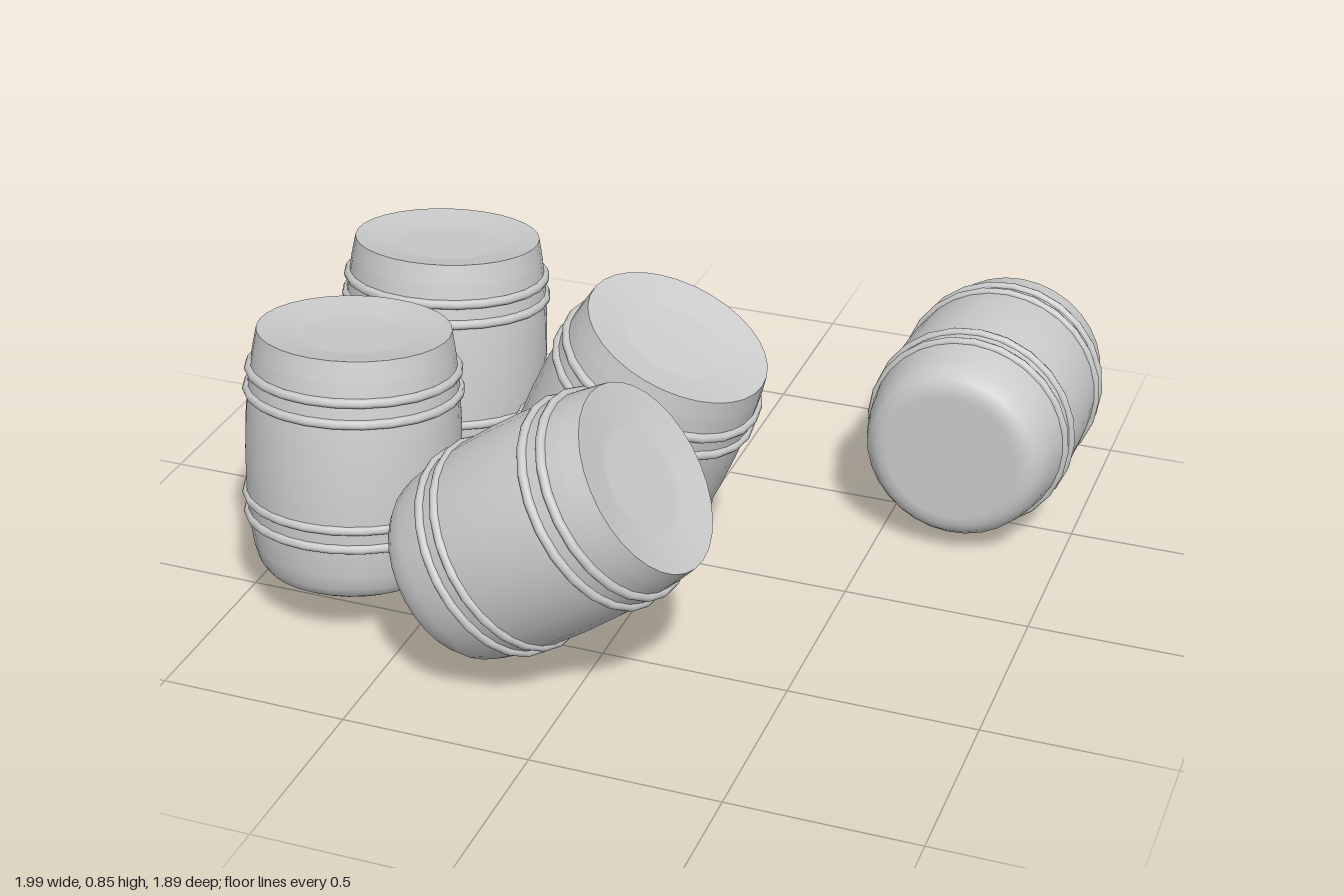
import * as THREE from 'three';

const LENGTH = 0.665;
const SIDES = 32;
const material = new THREE.MeshStandardMaterial({ color: 0xcccccc });

const lathe = (points) =>
  new THREE.LatheGeometry(points.map(([r, y]) => new THREE.Vector2(r, y)), SIDES);

// Bulging staves with a rounded foot
const bodyGeometry = lathe([
  [0, 0], [0.18, 0], [0.205, 0.003], [0.228, 0.015], [0.246, 0.04], [0.258, 0.08],
  [0.27, 0.15], [0.277, 0.23], [0.28, 0.33], [0.278, 0.43], [0.272, 0.52], [0.26, 0.61],
]);
// Straight collar above the staves
const collarGeometry = lathe([[0.26, 0.61], [0.25, LENGTH]]);
// Shallow dished lid
const lidGeometry = lathe([
  [0.25, LENGTH], [0.235, LENGTH - 0.002], [0.19, LENGTH - 0.011],
  [0.145, LENGTH - 0.018], [0.13, LENGTH - 0.02], [0, LENGTH - 0.02],
]);

// Hoops as [height, radius]
const hoops = [[0.165, 0.271], [0.218, 0.275], [0.505, 0.273], [0.56, 0.268]];

function createBarrel(name, centre, axis) {
  const barrel = new THREE.Group();
  barrel.name = name;
  const add = (partName, geometry) => {
    const mesh = new THREE.Mesh(geometry, material);
    mesh.name = partName;
    mesh.position.y = -LENGTH / 2;
    barrel.add(mesh);
    return mesh;
  };
  add('body', bodyGeometry);
  add('collar', collarGeometry);
  add('lid', lidGeometry);
  hoops.forEach(([height, radius], i) => {
    const hoop = add(`hoop${i + 1}`, new THREE.TorusGeometry(radius, 0.013, 8, 24));
    hoop.rotation.x = Math.PI / 2;
    hoop.position.y += height;
  });
  // Point the barrel's lid along the axis
  barrel.quaternion.setFromUnitVectors(
    new THREE.Vector3(0, 1, 0), new THREE.Vector3(...axis).normalize());
  barrel.position.set(...centre);
  return barrel;
}

export function createModel() {
  const model = new THREE.Group();
  model.name = 'barrels';
  model.add(
    createBarrel('frontUprightBarrel', [-0.71, 0.445, 0.445], [0, 0.99, -0.135]),
    createBarrel('backUprightBarrel', [-0.71, 0.445, -0.14], [0, 0.99, -0.135]),
    createBarrel('steepLeaningBarrel', [-0.09, 0.452, 0.65], [0.814, 0.58, 0]),
    createBarrel('leaningBarrel', [-0.073, 0.443, 0.105], [0.414, 0.909, 0.01]),
    createBarrel('lyingBarrel', [0.707, 0.295, -0.607], [0.02, -0.03, -1]),
  );
  return model;
}
